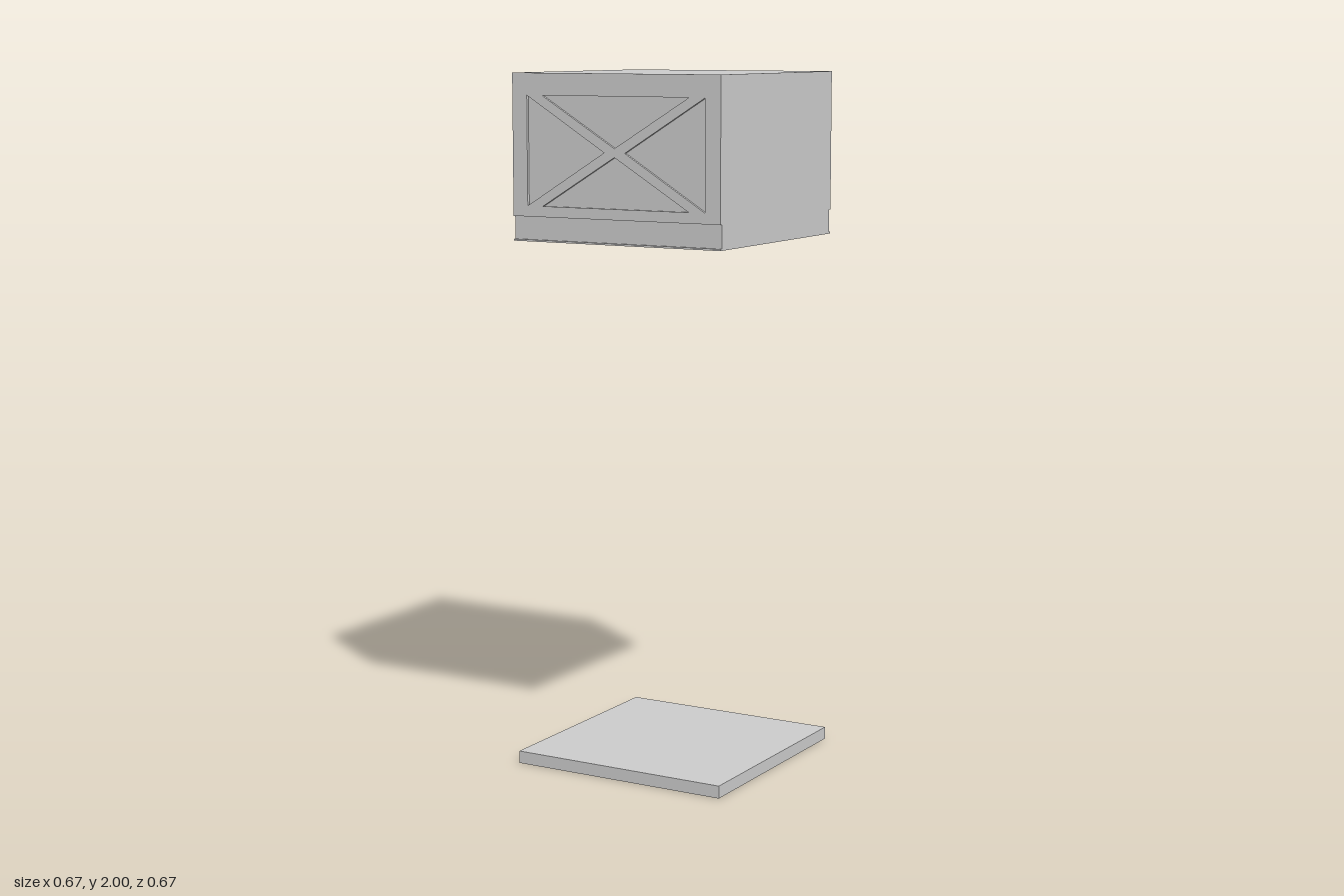
import * as THREE from 'three';

export function createModel() {
  const group = new THREE.Group();
  const material = new THREE.MeshStandardMaterial({ color: 0xcccccc, flatShading: true });
  const half = 0.333, relief = 0.008, inner = half - relief;
  const bottom = 1.53, ledge = 1.6, top = 2;

  const add = (name, geometry, parent = group) => {
    const mesh = new THREE.Mesh(geometry, material);
    mesh.name = name;
    parent.add(mesh);
    return mesh;
  };
  const box = (name, y0, y1, depth) => {
    const mesh = add(name, new THREE.BoxGeometry(half * 2, y1 - y0, depth));
    mesh.position.y = (y0 + y1) / 2;
  };

  // Floor slab, upper body and the thin lip around its underside
  box('basePlate', 0, 0.036, half * 2);
  box('body', bottom + 0.005, top, inner * 2);
  box('bottomLip', bottom, bottom + 0.005, half * 2);

  // Cross-braced frame: a rectangle with four triangular openings
  const polygon = (Type, points) => new Type(points.map(([x, y]) => new THREE.Vector2(x, y)));
  const frame = polygon(THREE.Shape, [[-half, ledge], [half, ledge], [half, top], [-half, top]]);
  const low = 1.63, high = 1.938, mid = 1.784;
  for (const s of [-1, 1]) {
    const edge = s < 0 ? low : high;
    frame.holes.push(
      polygon(THREE.Path, [[s * 0.285, low], [s * 0.285, high], [s * 0.033, mid]]),
      polygon(THREE.Path, [[-0.235, edge], [0.235, edge], [0, mid + s * 0.012]])
    );
  }
  const frameGeometry = new THREE.ExtrudeGeometry(frame, { depth: relief, bevelEnabled: false });
  frameGeometry.translate(0, 0, inner);

  // The same frame on the front and back
  ['frontFrame', 'backFrame'].forEach((name, i) => {
    add(name, frameGeometry).rotation.y = i * Math.PI;
  });

  return group;
}
